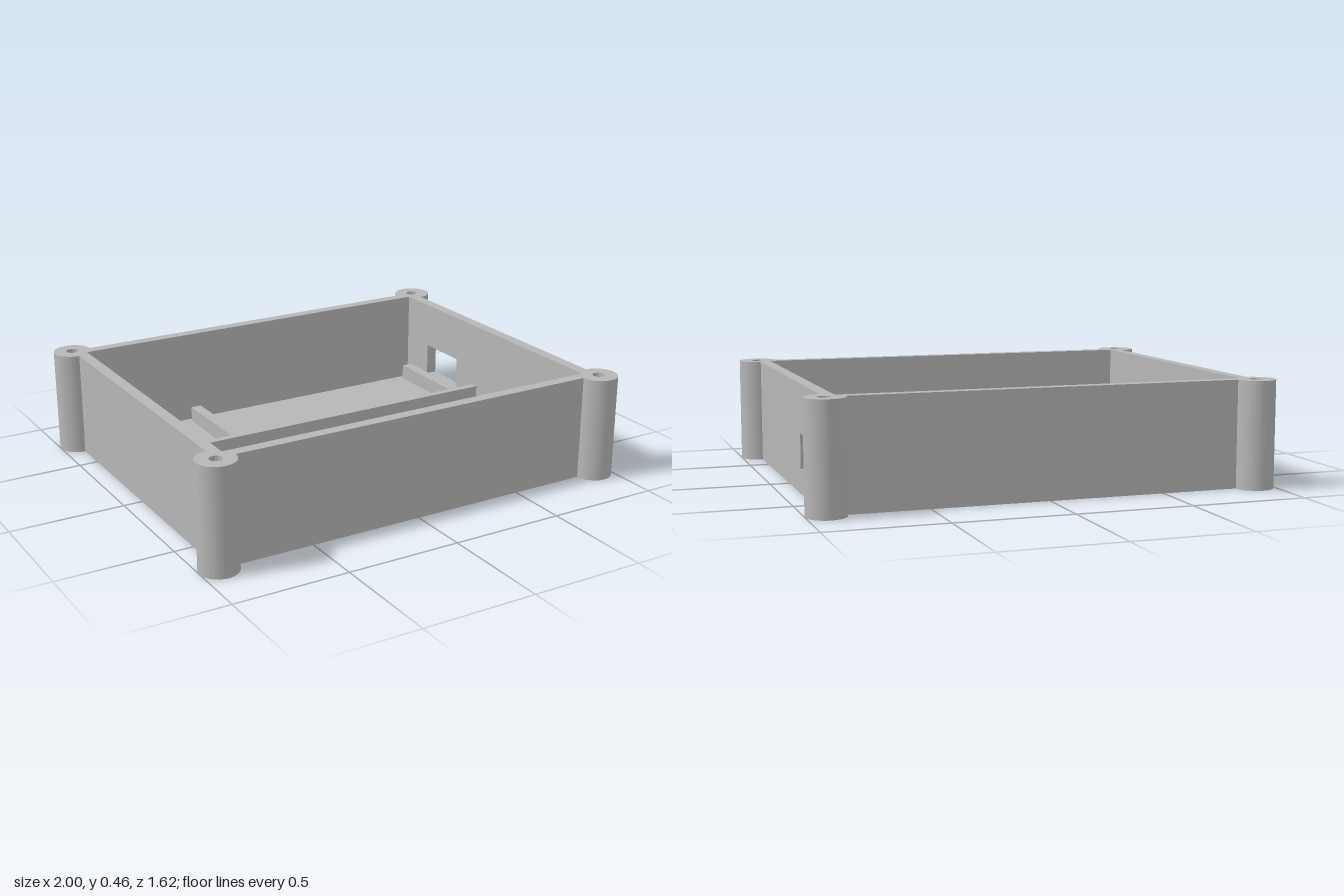
import * as THREE from 'three';
import { toCreasedNormals } from 'three/addons/utils/BufferGeometryUtils.js';

const CX = 0.917, CZ = 0.727;      // outer corners of the box, also the post centres
const R = 0.083, T = 0.05;         // post radius, wall thickness
const FLOOR = 0.04, TOP = 0.46;
const IX = CX - T, IZ = CZ - T;    // cavity half sizes

function circle(x, y, r) {
  return new THREE.Path().absarc(x, y, r, 0, Math.PI * 2, true);
}

function extrude(shape, depth) {
  const g = new THREE.ExtrudeGeometry(shape, { depth, bevelEnabled: false, curveSegments: 32 });
  return toCreasedNormals(g, 0.6);
}

export function createModel() {
  const group = new THREE.Group();
  const grey = new THREE.MeshStandardMaterial({ color: 0xb6b6b6 });
  grey.name = 'grey plastic';

  const add = (name, geometry, x = 0, y = 0, z = 0) => {
    const mesh = new THREE.Mesh(geometry, grey);
    mesh.name = name;
    mesh.position.set(x, y, z);
    group.add(mesh);
    return mesh;
  };
  // box given by its minimum and maximum corners
  const block = (name, x0, x1, y0, y1, z0, z1) =>
    add(name, new THREE.BoxGeometry(x1 - x0, y1 - y0, z1 - z0),
      (x0 + x1) / 2, (y0 + y1) / 2, (z0 + z1) / 2);

  // floor plate with round corner lobes and three holes
  const corners = [[-1, -1], [1, -1], [1, 1], [-1, 1]];
  const outline = new THREE.Shape();
  corners.forEach(([sx, sy], i) => {
    const start = (i + 1) * Math.PI / 2;
    outline.absarc(sx * CX, sy * CZ, R, start, start + Math.PI * 1.5, false);
  });
  const holeX = -0.727, screwZ = 0.35, sinkR = 0.067, screwR = 0.037;
  outline.holes.push(circle(holeX, 0, R));
  for (const s of [-1, 1]) outline.holes.push(circle(holeX, s * screwZ, sinkR));
  add('floor', extrude(outline, FLOOR).rotateX(-Math.PI / 2));

  // countersunk rings in the two screw holes
  const sinkProfile = [[screwR, 0], [sinkR, 0], [sinkR, FLOOR], [screwR, 0.008], [screwR, 0]]
    .map(([x, y]) => new THREE.Vector2(x, y));
  for (const s of [-1, 1]) {
    const ring = toCreasedNormals(new THREE.LatheGeometry(sinkProfile, 32), 0.6);
    add('countersink', ring, holeX, 0, s * screwZ);
  }

  // corner posts: round outside, cut square by the cavity, with a screw bore
  const post = new THREE.Shape();
  post.absarc(0, 0, R, Math.PI / 2, Math.PI * 2, false);
  post.lineTo(R, T);
  post.lineTo(T, T);
  post.lineTo(T, R);
  post.closePath();
  post.holes.push(circle(0, 0, 0.027));
  const postGeometry = extrude(post, TOP - FLOOR).rotateX(-Math.PI / 2);
  [[-1, 1], [1, 1], [1, -1], [-1, -1]].forEach(([sx, sz], i) => {
    add('cornerPost', postGeometry, sx * CX, FLOOR, sz * CZ).rotation.y = i * Math.PI / 2;
  });

  // plain walls between the posts
  block('frontWall', -CX + R, CX - R, FLOOR, TOP, IZ, CZ);
  block('backWall', -CX + R, CX - R, FLOOR, TOP, -CZ, -IZ);
  block('rightWall', -CX, -IX, FLOOR, TOP, -CZ + R, CZ - R);

  // wall with the connector opening
  const w = CZ - R;
  const side = new THREE.Shape([[-w, FLOOR], [w, FLOOR], [w, TOP], [-w, TOP]]
    .map(([x, y]) => new THREE.Vector2(x, y)));
  side.holes.push(new THREE.Path([[0.25, 0.104], [0.25, 0.252], [0.5, 0.252], [0.5, 0.104]]
    .map(([x, y]) => new THREE.Vector2(x, y))));
  add('leftWall', extrude(side, T).rotateY(Math.PI / 2), IX);

  // inner dividers and low support rails
  block('longDivider', -0.58, IX, FLOOR, 0.165, -0.112, -0.08);
  block('shortDivider', -0.612, -0.58, FLOOR, 0.165, -0.08, IZ);
  block('supportRail', -0.375, -0.327, FLOOR, 0.11, -0.648, -0.112);
  block('supportRail', 0.818, IX, FLOOR, 0.11, -0.648, -0.112);

  return group;
}
